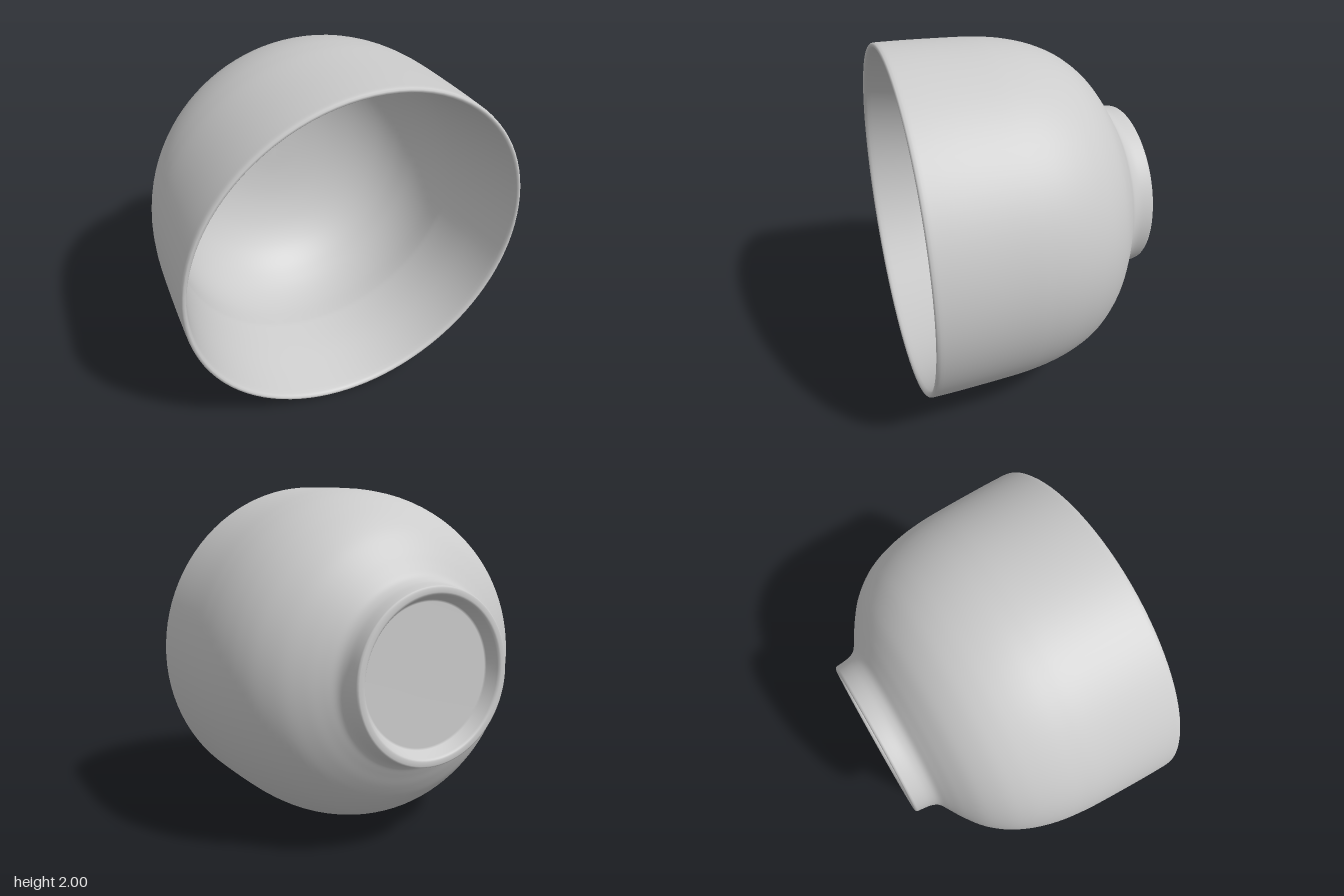
import * as THREE from 'three';

// smooth curve through [radius, depth] pairs
const smooth = (pairs, n) =>
  new THREE.SplineCurve(pairs.map(([r, z]) => new THREE.Vector2(r, z))).getPoints(n);
const line = (pairs) => pairs.map(([r, z]) => new THREE.Vector2(r, z));

export function createModel() {
  const group = new THREE.Group();
  group.name = 'bowl';

  // recessed underside and foot ring
  const foot = line([
    [0, -0.62], [0.39, -0.62], [0.402, -0.625], [0.428, -0.685], [0.436, -0.696],
    [0.446, -0.699], [0.468, -0.699], [0.477, -0.694], [0.48, -0.685],
  ]);
  // outer wall, from the foot's neck to the rim
  const outer = smooth([
    [0.484, -0.65], [0.493, -0.6], [0.517, -0.56], [0.572, -0.525], [0.655, -0.475],
    [0.755, -0.4], [0.842, -0.3], [0.898, -0.2], [0.935, -0.1], [0.96, 0],
    [0.975, 0.1], [0.984, 0.2], [0.993, 0.4], [0.998, 0.55], [1, 0.67],
  ], 70);
  // thin rounded rim
  const rim = line([[0.998, 0.685], [0.991, 0.692], [0.981, 0.692], [0.973, 0.684]]);
  // inner wall narrows from the rim to a soft ridge
  const lip = smooth([[0.968, 0.67], [0.942, 0.53], [0.912, 0.37], [0.885, 0.2]], 12);
  // rounded inside below the ridge
  const inner = smooth([
    [0.882, 0.18], [0.872, 0.05], [0.848, -0.06], [0.807, -0.16], [0.745, -0.26],
    [0.655, -0.35], [0.53, -0.425], [0.37, -0.48], [0.19, -0.508], [0, -0.515],
  ], 50);

  const geometry = new THREE.LatheGeometry([...foot, ...outer, ...rim, ...lip, ...inner], 96);
  geometry.rotateX(Math.PI / 2); // opening faces the front
  geometry.scale(0.985, 1, 1); // slightly oval mouth

  // hand-made look: the foot sits slightly off centre
  const p = geometry.attributes.position;
  for (let i = 0; i < p.count; i++) {
    const k = 1 - THREE.MathUtils.smoothstep(p.getZ(i), -0.6, -0.2);
    p.setXY(i, p.getX(i) - 0.012 * k, p.getY(i) + 0.006 * k);
  }

  const body = new THREE.Mesh(
    geometry,
    new THREE.MeshStandardMaterial({ color: 0xcccccc })
  );
  body.name = 'bowlBody';
  body.position.y = 1;
  body.rotation.set(0.004, 0.007, 0); // faint tilt of rim and foot
  group.add(body);
  return group;
}
